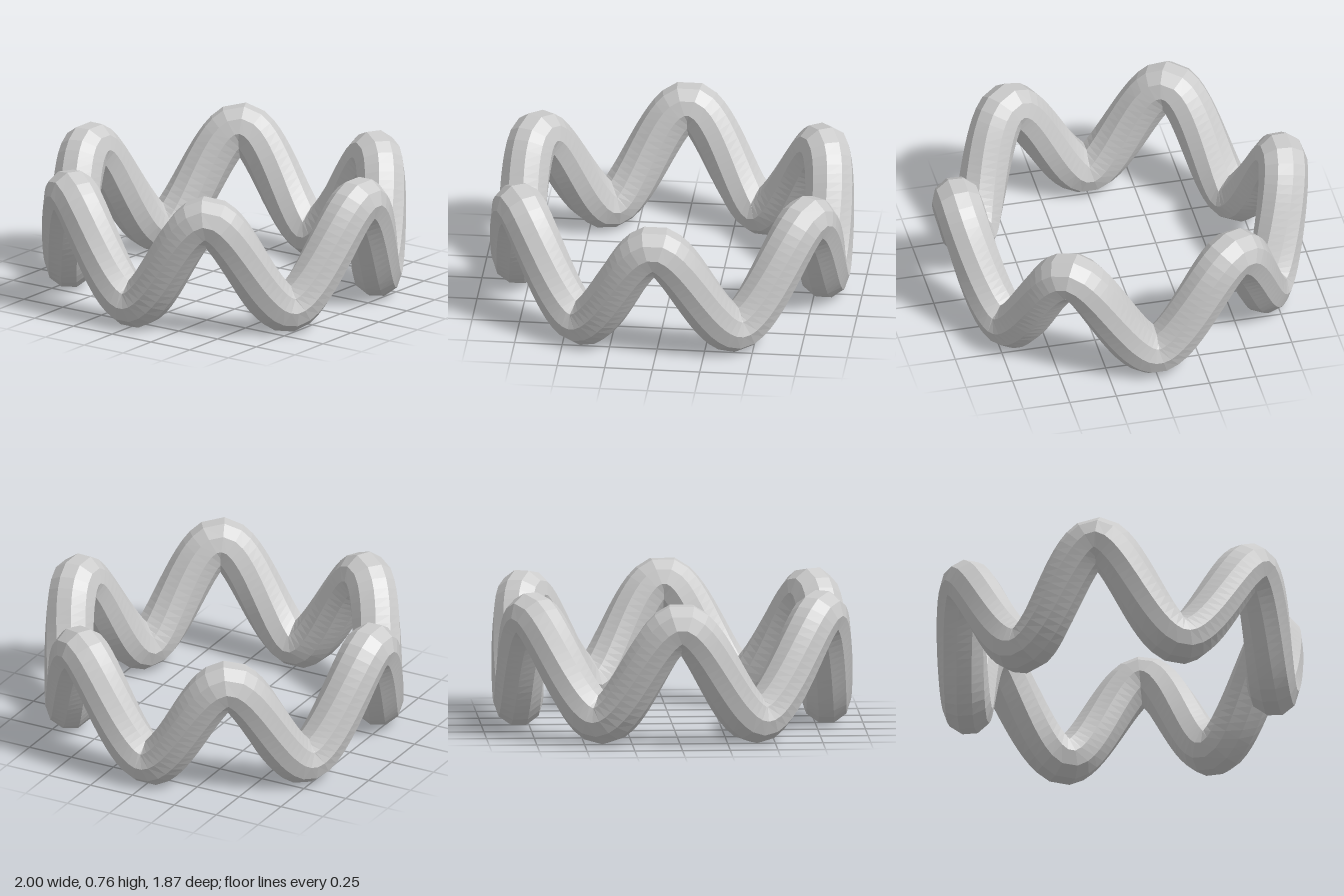
import * as THREE from 'three';

const WAVES = 6, RINGS = 200, SIDES = 10, RADIUS = 0.13;

// Closed centre line: crests and troughs alternate around a circle
function wavePath() {
  const points = [];
  for (let i = 0; i < WAVES * 2; i++) {
    const angle = (i / WAVES) * Math.PI;
    const crest = i % 2 === 0;
    const r = crest ? 0.87 : 0.807;
    points.push(new THREE.Vector3(r * Math.cos(angle), crest ? 0.636 : 0.124, r * Math.sin(angle)));
  }
  return new THREE.CatmullRomCurve3(points, true, 'catmullrom', 0.5);
}

// Sweep a ten-sided section, with one corner always pointing away from the axis
function sweptRing(path) {
  const positions = [], indices = [];
  const outward = new THREE.Vector3(), across = new THREE.Vector3(), v = new THREE.Vector3();
  for (let i = 0; i < RINGS; i++) {
    const u = (i + 0.5) / RINGS;
    const p = path.getPointAt(u), t = path.getTangentAt(u);
    outward.set(p.x, 0, p.z);
    outward.addScaledVector(t, -outward.dot(t)).normalize();
    across.crossVectors(t, outward);
    for (let j = 0; j < SIDES; j++) {
      const a = (j / SIDES) * Math.PI * 2;
      v.copy(p).addScaledVector(outward, RADIUS * Math.cos(a)).addScaledVector(across, RADIUS * Math.sin(a));
      positions.push(v.x, v.y, v.z);
      const j2 = (j + 1) % SIDES, next = ((i + 1) % RINGS) * SIDES;
      const A = i * SIDES + j, B = i * SIDES + j2, C = next + j2, D = next + j;
      indices.push(A, B, C, A, C, D);
    }
  }
  const geometry = new THREE.BufferGeometry();
  geometry.setAttribute('position', new THREE.Float32BufferAttribute(positions, 3));
  geometry.setIndex(indices);
  geometry.computeVertexNormals();
  return geometry;
}

export function createModel() {
  const group = new THREE.Group();
  group.name = 'wavyRing';
  const material = new THREE.MeshStandardMaterial({ color: 0xcccccc, flatShading: true });
  const band = new THREE.Mesh(sweptRing(wavePath()), material);
  band.name = 'waveBand';
  group.add(band);
  return group;
}
